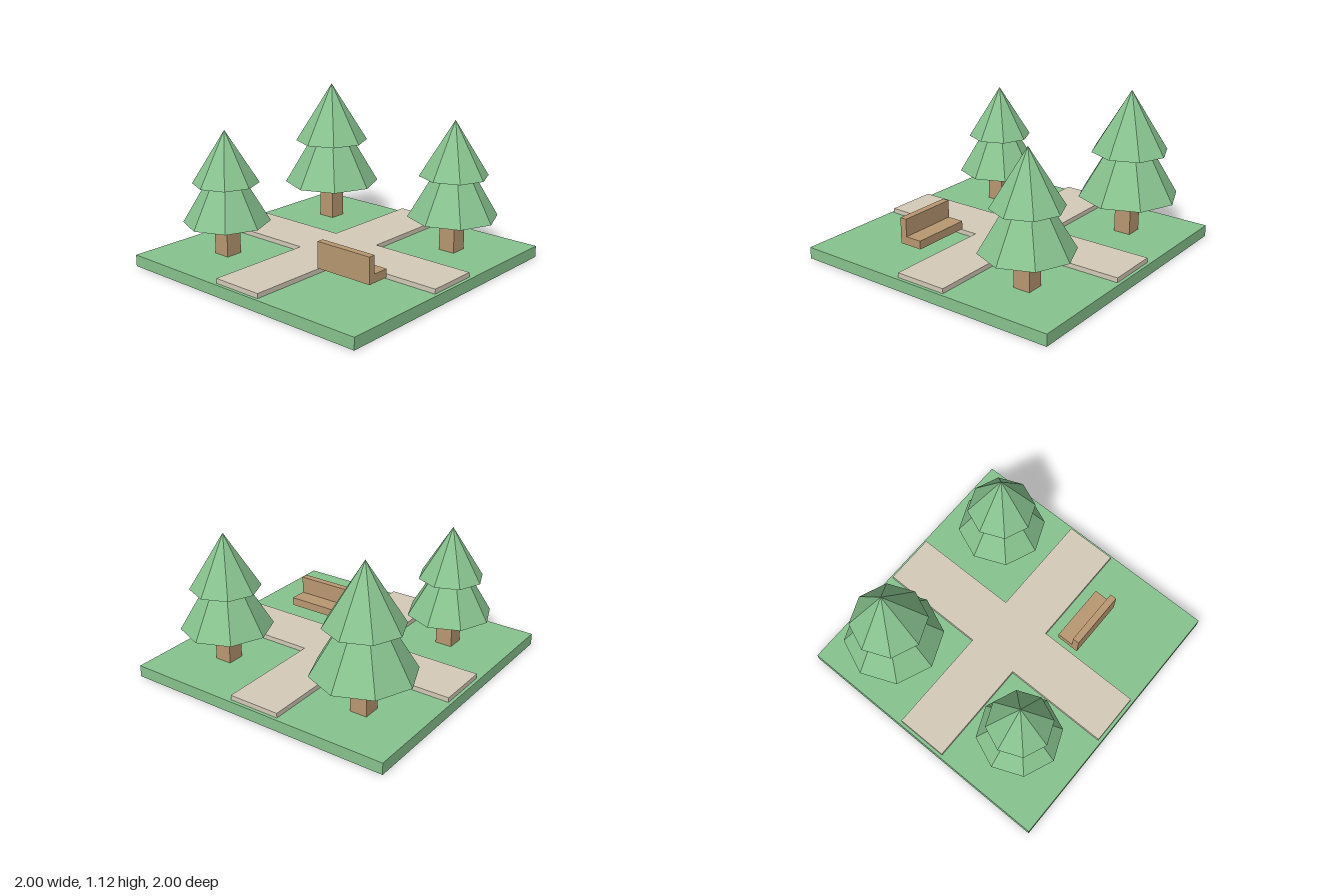
import * as THREE from 'three';

const mat = (name, color) => {
  const m = new THREE.MeshStandardMaterial({ color, flatShading: true });
  m.name = name;
  return m;
};

export function createModel() {
  const green = mat('green', 0x88c38f);
  const stone = mat('stone', 0xd4cbb9);
  const wood = mat('wood', 0xb99871);
  const park = new THREE.Group();
  park.name = 'park';

  const add = (parent, name, geometry, material, x, y, z) => {
    const mesh = new THREE.Mesh(geometry, material);
    mesh.name = name;
    mesh.position.set(x, y, z);
    parent.add(mesh);
  };
  const ground = 0.083;

  // Lawn slab
  add(park, 'lawn', new THREE.BoxGeometry(2, ground, 2), green, 0, ground / 2, 0);

  // Crossing paths, one raised cross
  const w = 0.19, l = 0.977;
  const cross = new THREE.Shape([
    [w, w], [w, l], [-w, l], [-w, w], [-l, w], [-l, -w],
    [-w, -w], [-w, -l], [w, -l], [w, -w], [l, -w], [l, w],
  ].map(([x, y]) => new THREE.Vector2(x, y)));
  const pathGeometry = new THREE.ExtrudeGeometry(cross, { depth: 0.034, bevelEnabled: false });
  pathGeometry.rotateX(-Math.PI / 2);
  add(park, 'path', pathGeometry, stone, 0, ground, 0);

  // Trees: square trunk below two stacked eight-sided cones
  const addTree = (x, z, s) => {
    const tree = new THREE.Group();
    tree.name = 'tree';
    tree.position.set(x, ground, z);
    const cone = (name, radius, bottom, top) => add(tree, name,
      new THREE.ConeGeometry(radius * s, (top - bottom) * s, 8), green, 0, (top + bottom) / 2 * s, 0);
    const trunkHeight = 0.29 * s;
    add(tree, 'trunk', new THREE.BoxGeometry(0.125, trunkHeight, 0.125), wood, 0, trunkHeight / 2, 0);
    cone('lowerFoliage', 0.356, 0.277, 0.88);
    cone('upperFoliage', 0.272, 0.603, 1.04);
    park.add(tree);
  };
  addTree(-0.58, -0.58, 1);
  addTree(0.58, -0.55, 0.9);
  addTree(-0.55, 0.545, 0.85);

  // Bench with its back towards the front edge
  const bench = new THREE.Group();
  bench.name = 'bench';
  add(bench, 'seat', new THREE.BoxGeometry(0.44, 0.06, 0.172), wood, 0.44, 0.17, 0.37);
  add(bench, 'backrest', new THREE.BoxGeometry(0.44, 0.148, 0.05), wood, 0.44, 0.254, 0.432);
  park.add(bench);

  return park;
}
